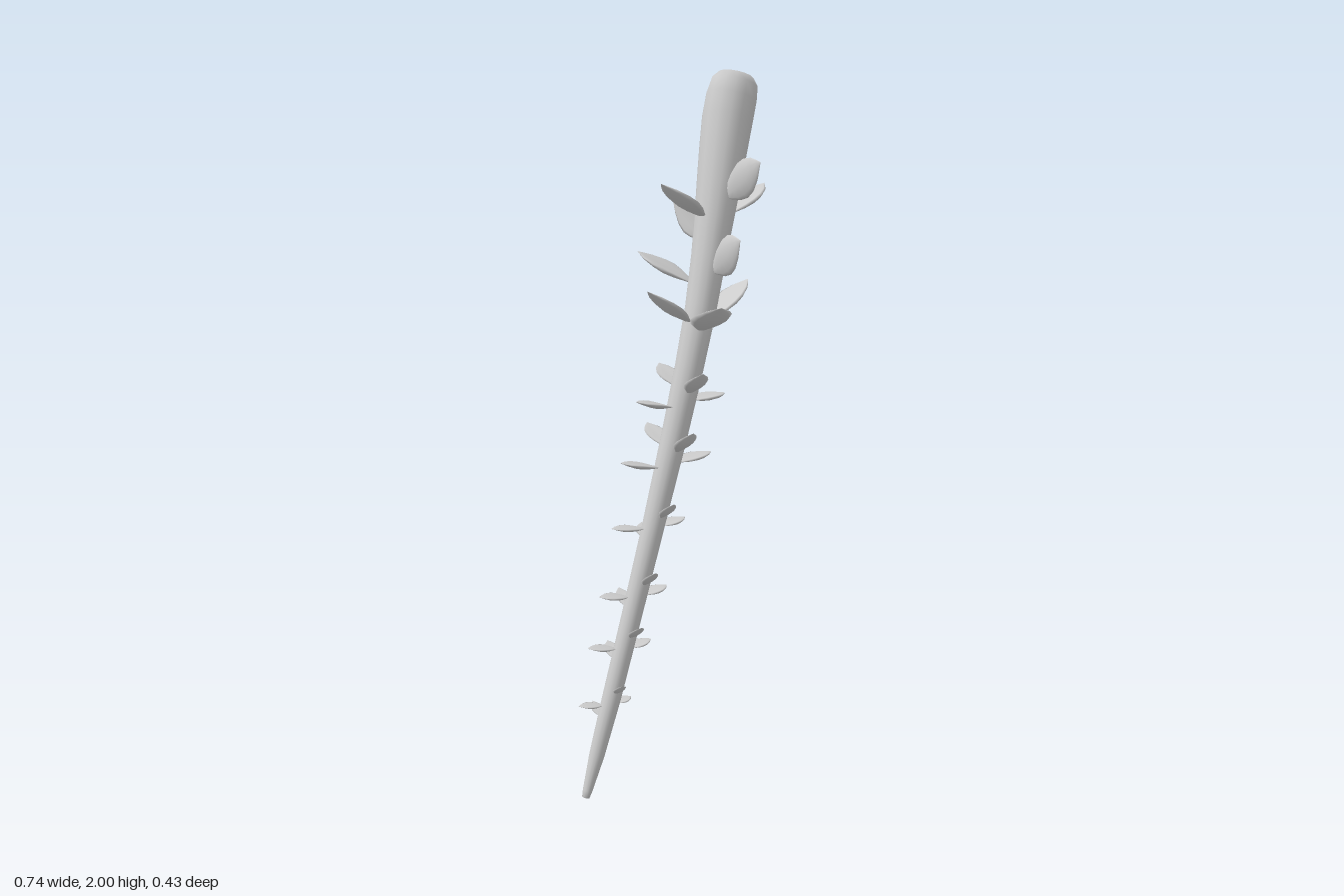
import * as THREE from 'three';

const V = (a) => new THREE.Vector3(...a);

// Skin a list of equally sized closed rings
function loft(rings) {
  const n = rings[0].length, pos = [], idx = [];
  for (const ring of rings) for (const p of ring) pos.push(p.x, p.y, p.z);
  for (let i = 0; i < rings.length - 1; i++) {
    for (let j = 0; j < n; j++) {
      const a = i * n + j, b = i * n + (j + 1) % n;
      idx.push(a, b, a + n, b, b + n, a + n);
    }
  }
  const g = new THREE.BufferGeometry();
  g.setAttribute('position', new THREE.Float32BufferAttribute(pos, 3));
  g.setIndex(idx);
  g.computeVertexNormals();
  return g;
}

// Centre line of the stem: straight from the front, bending back near the top
const spine = new THREE.CatmullRomCurve3([
  [-0.362, 0.005, 0.053], [-0.282, 0.25, 0.058], [-0.2, 0.5, 0.058], [-0.115, 0.76, 0.056],
  [-0.037, 1.0, 0.052], [0.067, 1.32, 0.036], [0.126, 1.5, 0.012], [0.192, 1.7, -0.022],
  [0.253, 1.88, -0.054], [0.288, 1.982, -0.062],
].map(V));

function stemGeometry() {
  // Position along the spine and radius there
  const profile = [
    [0, 0], [0, 0.011], [0.01, 0.014], [0.06, 0.022], [0.14, 0.027], [0.25, 0.029], [0.38, 0.032],
    [0.5, 0.037], [0.6, 0.041], [0.68, 0.045], [0.75, 0.05], [0.8, 0.056], [0.85, 0.063],
    [0.9, 0.069], [0.94, 0.073], [0.97, 0.073], [0.99, 0.067], [1, 0.05], [1, 0],
  ];
  return loft(profile.map(([t, r]) => {
    const c = spine.getPointAt(t), d = spine.getTangentAt(t);
    const u = new THREE.Vector3(0, 0, 1).cross(d).normalize();
    const v = d.clone().cross(u);
    return Array.from({ length: 14 }, (_, j) => {
      const a = j / 14 * Math.PI * 2;
      return c.clone().addScaledVector(u, Math.cos(a) * r).addScaledVector(v, Math.sin(a) * r);
    });
  }));
}

// Pointed, slightly cupped leaf from base to tip; 'upright' turns the blade vertical
function leafGeometry(base, tip, width, upright) {
  const d = tip.clone().sub(base).normalize();
  const up = new THREE.Vector3(0, 1, 0);
  const s = upright ? up.addScaledVector(d, -d.y) : d.clone().cross(up);
  s.normalize();
  const n = s.clone().cross(d);
  const outline = [[0, 0], [0, 0.2], [0.12, 0.48], [0.28, 0.82], [0.45, 1], [0.62, 0.94], [0.8, 0.64], [0.92, 0.28], [1, 0]];
  return loft(outline.map(([t, w]) => {
    const c = base.clone().lerp(tip, t), h = w * width / 2;
    return Array.from({ length: 10 }, (_, j) => {
      const a = -j / 10 * Math.PI * 2, x = Math.cos(a);
      const lift = Math.sin(a) * h * 0.19 + (x * x - 0.5) * h * h / width * 0.4;
      return c.clone().addScaledVector(s, x * h).addScaledVector(n, lift);
    });
  }));
}

export function createModel() {
  const group = new THREE.Group();
  const material = new THREE.MeshStandardMaterial({ color: 0xcccccc });
  const add = (name, geometry) => {
    const mesh = new THREE.Mesh(geometry, material);
    mesh.name = name;
    group.add(mesh);
  };
  add('stem', stemGeometry());

  // Stem centre at a given height
  const centreAt = (y) => {
    let lo = 0, hi = 1;
    for (let i = 0; i < 24; i++) {
      const m = (lo + hi) / 2;
      if (spine.getPointAt(m).y < y) lo = m; else hi = m;
    }
    return spine.getPointAt(lo);
  };
  // Each leaf grows from just inside the stem surface: height, tip, width
  const leaf = (name, upright = false) => ([y, tx, ty, tz, width]) => {
    const c = centreAt(y), t = V([tx, ty, tz]);
    const out = t.clone().sub(c).setY(0).normalize();
    add(name, leafGeometry(c.addScaledVector(out, 0.018 + 0.014 * y), t, width, upright));
  };

  [[1.6, -0.035, 1.7, -0.005, 0.11], [1.32, -0.118, 1.42, 0.038, 0.1], [1.09, -0.16, 1.12, 0.037, 0.075],
    [0.925, -0.213, 0.955, 0.033, 0.07], [0.757, -0.24, 0.77, 0.025, 0.058], [0.568, -0.285, 0.58, 0.025, 0.058],
    [0.425, -0.325, 0.437, 0.022, 0.052], [0.267, -0.363, 0.275, 0.027, 0.044],
  ].forEach(leaf('rightLeaf'));

  [[1.6, 0.37, 1.68, -0.026, 0.11], [1.32, 0.25, 1.42, 0.04, 0.1], [1.1, 0.155, 1.103, 0.05, 0.075],
    [0.93, 0.1, 0.94, 0.055, 0.07], [0.755, -0.002, 0.765, 0.06, 0.058], [0.565, -0.07, 0.575, 0.06, 0.058],
    [0.418, -0.13, 0.427, 0.06, 0.052], [0.265, -0.203, 0.27, 0.06, 0.044],
  ].forEach(leaf('leftLeaf'));

  // The top two front leaves and the top back leaf stand upright
  [[1.66, 0.15, 1.76, 0.19, 0.105], [1.46, 0.06, 1.56, 0.212, 0.105]].forEach(leaf('uprightFrontLeaf', true));
  [[1.3, -0.005, 1.385, 0.211, 0.115], [1.13, -0.025, 1.2, 0.162, 0.07], [0.97, -0.06, 1.04, 0.163, 0.068],
    [0.79, -0.115, 0.845, 0.147, 0.05], [0.605, -0.18, 0.66, 0.146, 0.047], [0.46, -0.23, 0.512, 0.145, 0.045],
    [0.305, -0.28, 0.345, 0.123, 0.038],
  ].forEach(leaf('frontLeaf'));

  [[1.54, 0.18, 1.642, -0.214, 0.1]].forEach(leaf('uprightBackLeaf', true));
  [[1.42, 0.003, 1.5, -0.156, 0.105], [1.135, 0.035, 1.182, -0.1, 0.07], [0.972, -0.01, 1.013, -0.1, 0.065],
    [0.715, -0.085, 0.742, -0.035, 0.05], [0.525, -0.155, 0.555, -0.054, 0.045], [0.38, -0.2, 0.405, -0.05, 0.045],
    [0.222, -0.27, 0.243, -0.032, 0.037],
  ].forEach(leaf('backLeaf'));

  return group;
}
